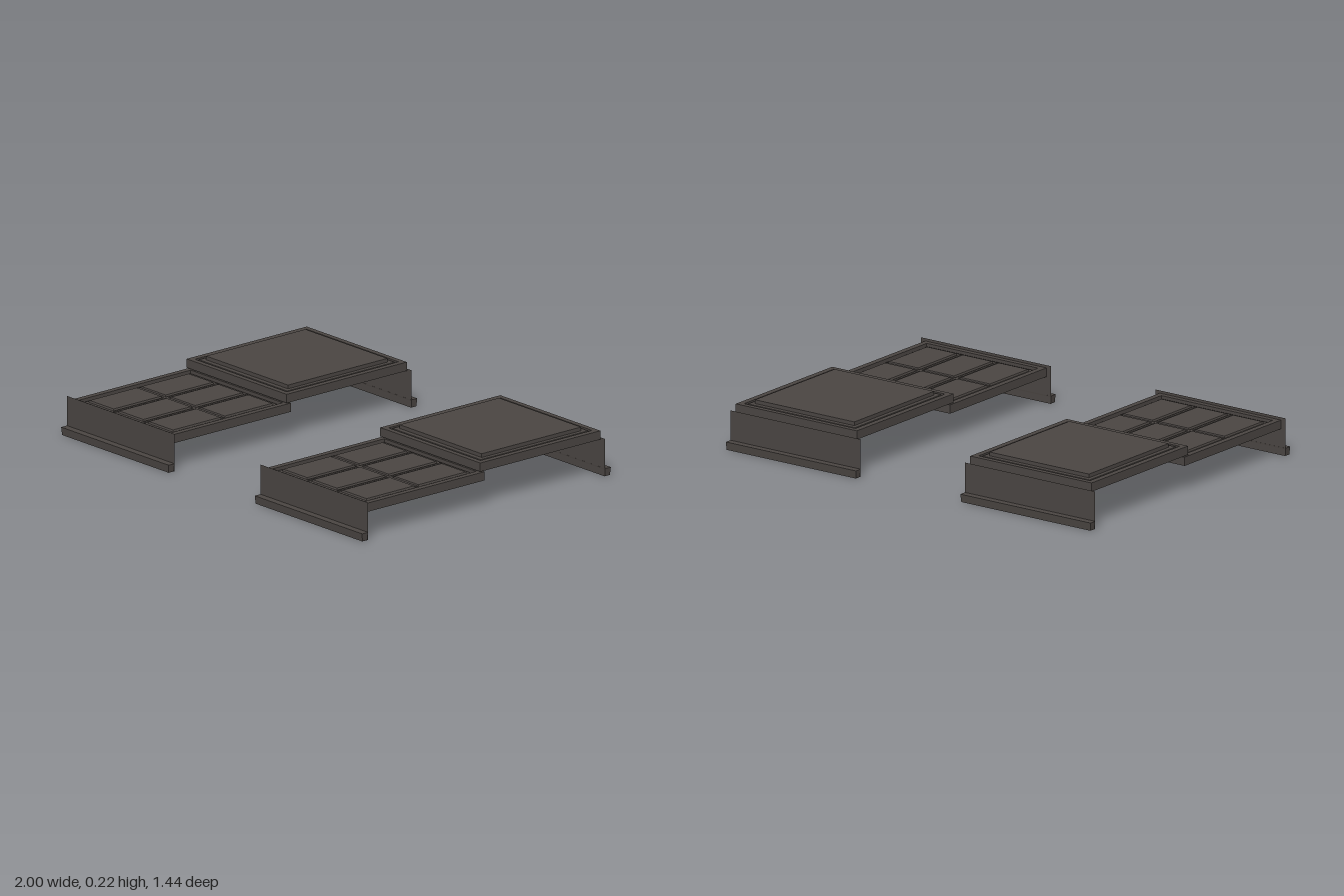
import * as THREE from 'three';

const paint = new THREE.MeshStandardMaterial({ color: 0x4a4542, side: THREE.DoubleSide });
paint.name = 'dark painted frame';

function add(parent, name, geometry, x = 0, y = 0, z = 0) {
  const mesh = new THREE.Mesh(geometry, paint);
  mesh.name = name;
  mesh.position.set(x, y, z);
  parent.add(mesh);
  return mesh;
}

// Box standing on y = 0 whose top is drawn in by a bevel
function bevelBox(w, h, d, bevel = 0) {
  const geo = new THREE.BoxGeometry(w, h, d).translate(0, h / 2, 0).toNonIndexed();
  const p = geo.attributes.position;
  for (let i = 0; i < p.count; i++) {
    if (p.getY(i) < h / 2) continue;
    p.setX(i, p.getX(i) - Math.sign(p.getX(i)) * bevel);
    p.setZ(i, p.getZ(i) - Math.sign(p.getZ(i)) * bevel);
  }
  geo.computeVertexNormals();
  return geo;
}

// Flat rectangular ring standing on y = 0
function ring(hw, hd, innerW, innerD, h) {
  const rect = (P, a, b) => new P([[-a, -b], [a, -b], [a, b], [-a, b]].map(([x, y]) => new THREE.Vector2(x, y)));
  const shape = rect(THREE.Shape, hw, hd);
  shape.holes.push(rect(THREE.Path, innerW, innerD));
  return new THREE.ExtrudeGeometry(shape, { depth: h, bevelEnabled: false }).rotateX(-Math.PI / 2);
}

// Outer rim of a sash and the bevelled moulding inside it
function sash(name, y, z) {
  const g = new THREE.Group();
  g.name = name;
  g.position.set(0, y, z);
  add(g, 'sashRim', ring(0.3325, 0.3475, 0.305, 0.3225, 0.04));
  return g;
}

function makeWindow(name, x) {
  const g = new THREE.Group();
  g.name = name;
  g.position.x = x;

  // Upper sash with one large raised pane
  const upper = sash('upperSash', 0.165, -0.3325);
  add(upper, 'moulding', bevelBox(0.61, 0.028, 0.645, 0.012), 0, 0.01, 0);
  add(upper, 'largePane', bevelBox(0.545, 0.02, 0.575), 0, 0.035, 0);
  g.add(upper);

  // Lower sash with six panes between glazing bars
  const lower = sash('lowerSash', 0.12, 0.3375);
  add(lower, 'moulding', bevelBox(0.61, 0.02, 0.645, 0.012), 0, 0.01, 0);
  for (const col of [-1, 0, 1]) {
    for (const row of [-1, 1]) {
      add(lower, 'smallPane', bevelBox(0.168, 0.009, 0.282, 0.004), col * 0.197, 0.029, row * 0.15);
    }
  }
  for (const side of [-1, 1]) {
    add(lower, 'uprightBar', bevelBox(0.018, 0.03, 0.6, 0.003), side * 0.0985, 0.004, 0);
  }
  add(lower, 'crossBar', bevelBox(0.57, 0.03, 0.018, 0.003), 0, 0.004, 0);
  g.add(lower);

  // Thin end boards, each with a projecting lip along the bottom
  for (const side of [-1, 1]) {
    const board = new THREE.PlaneGeometry(0.714, 0.172);
    if (side < 0) board.rotateY(Math.PI);
    add(g, 'endBoard', board, 0, 0.086, side * 0.6855);
    const lip = add(g, 'boardLip', bevelBox(0.714, 0.036, 0.034, 0.003), 0, 0.036, side * 0.702);
    lip.rotation.x = Math.PI;
  }
  return g;
}

export function createModel() {
  const model = new THREE.Group();
  model.name = 'sashWindowPair';
  model.add(makeWindow('leftWindow', 0.643), makeWindow('rightWindow', -0.643));
  return model;
}
